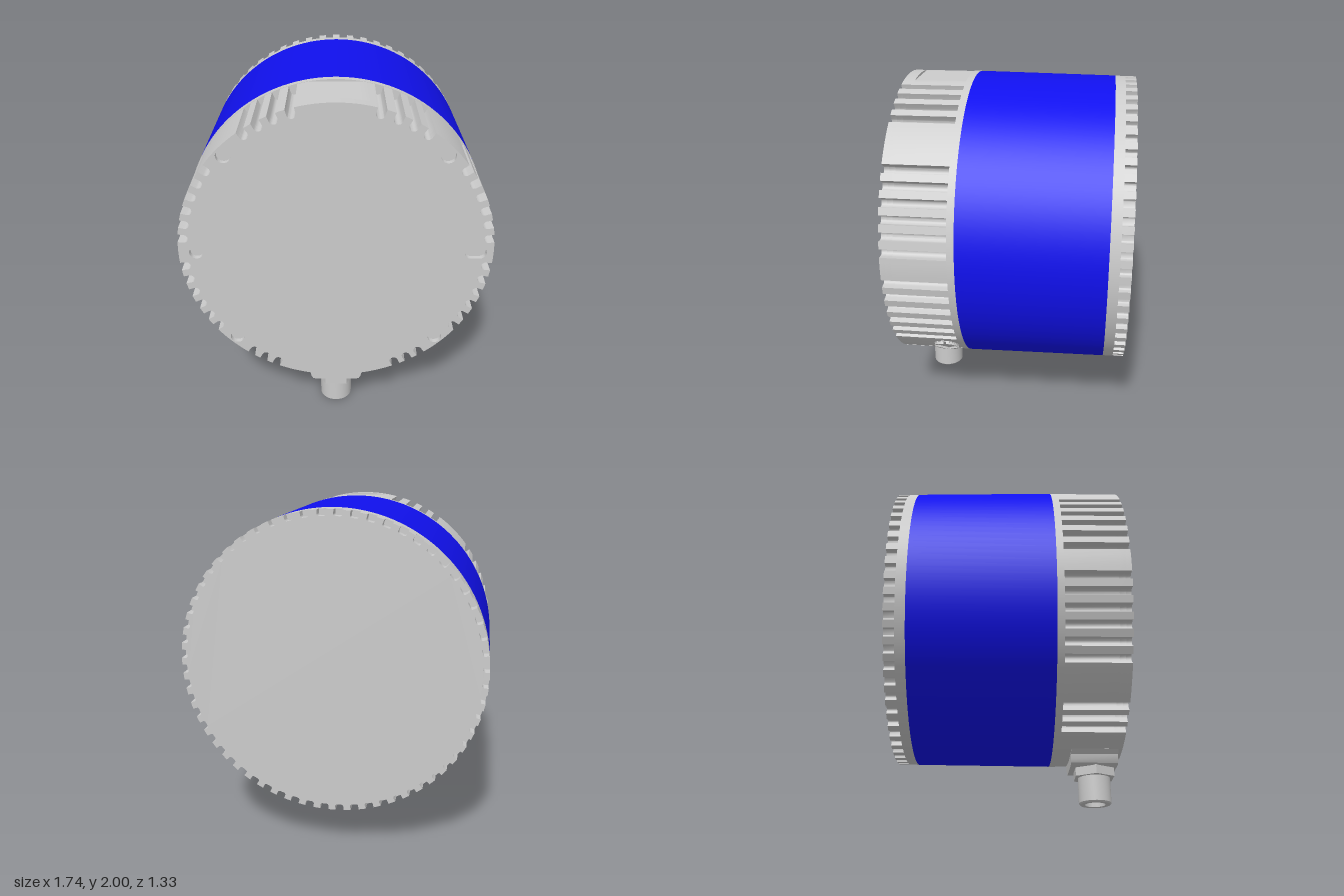
import * as THREE from 'three';
import { toCreasedNormals } from 'three/addons/utils/BufferGeometryUtils.js';

const CY = 1.13, R = 0.868, RAD = Math.PI / 180;
const grey = new THREE.MeshStandardMaterial({ color: 0xcccccc });
const blue = new THREE.MeshStandardMaterial({ color: 0x1010ee });

// Circular outline with radial U-shaped grooves; `flat` trims the top to a chord
function grooved(radius, angles, halfWidth, depth, round, flat = Infinity) {
  const pts = [];
  const add = (x, y) => pts.push(new THREE.Vector2(x, Math.min(y, flat)));
  const sorted = [...angles].sort((a, b) => a - b);
  const edge = Math.asin(halfWidth / radius) / RAD;
  sorted.forEach((deg, i) => {
    const c = Math.cos(deg * RAD), s = Math.sin(deg * RAD);
    const local = (u, v) => add(u * c - v * s, u * s + v * c);
    const rim = Math.sqrt(radius ** 2 - halfWidth ** 2);
    local(rim, -halfWidth);
    const bottom = radius - depth + round;
    const n = 5, flatHalf = halfWidth - round;
    for (let k = 0; k <= n; k++) {
      const t = k / n * Math.PI / 2;
      local(bottom - round * Math.sin(t), -flatHalf - round * Math.cos(t));
    }
    for (let k = flatHalf > 0.001 ? 0 : 1; k <= n; k++) {
      const t = k / n * Math.PI / 2;
      local(bottom - round * Math.cos(t), flatHalf + round * Math.sin(t));
    }
    local(rim, halfWidth);
    // rim arc up to the next groove
    const next = i + 1 < sorted.length ? sorted[i + 1] : sorted[0] + 360;
    const from = deg + edge, to = next - edge;
    const steps = Math.max(1, Math.round((to - from) / 2));
    for (let k = 1; k < steps; k++) {
      const a = (from + (to - from) * k / steps) * RAD;
      add(radius * Math.cos(a), radius * Math.sin(a));
    }
  });
  return new THREE.Shape(pts);
}

// Rounded slot (or round hole when length is 0)
function slotHole(x, y, r, length = 0) {
  const p = new THREE.Path();
  p.absarc(x + length / 2, y, r, -Math.PI / 2, Math.PI / 2, false);
  p.absarc(x - length / 2, y, r, Math.PI / 2, Math.PI * 1.5, false);
  return p;
}

function part(parent, name, geometry, material = grey) {
  const mesh = new THREE.Mesh(geometry, material);
  mesh.name = name;
  parent.add(mesh);
  return mesh;
}

function slab(parent, name, shape, z0, z1) {
  const g = new THREE.ExtrudeGeometry(shape, { depth: z1 - z0, bevelEnabled: false, curveSegments: 12 });
  const mesh = part(parent, name, toCreasedNormals(g, 0.5));
  mesh.position.z = z0;
  return mesh;
}

// Drum section along z, radius r0 at z0 and r1 at z1
function drum(parent, name, r0, r1, z0, z1, material) {
  const g = new THREE.CylinderGeometry(r1, r0, z1 - z0, 128);
  g.rotateX(Math.PI / 2);
  const mesh = part(parent, name, g, material);
  mesh.position.z = (z0 + z1) / 2;
  return mesh;
}

export function createModel() {
  const model = new THREE.Group();
  model.name = 'cylindricalSensor';

  const body = new THREE.Group();
  body.name = 'body';
  body.position.y = CY;
  model.add(body);

  // Window band and plain collars
  drum(body, 'windowBand', 0.86, 0.87, -0.545, 0.262, blue);
  drum(body, 'frontCollar', 0.87, 0.87, 0.262, 0.302);
  drum(body, 'rearCollar', 0.858, 0.86, -0.602, -0.545);

  // Rear rim with evenly spaced notches
  const notches = Array.from({ length: 60 }, (_, i) => i * 6 + 3);
  slab(body, 'rearRim', grooved(0.858, notches, 0.024, 0.034, 0.012), -0.665, -0.6);

  // Front housing with mirrored groups of cooling grooves
  const side = [-65.5, -60, -54.5, 56, 62, 68, 74.5];
  for (let k = 1; k <= 6; k++) side.push(6 * k, -6 * k);
  const grooves = side.flatMap(a => [(a + 360) % 360, (180 - a + 360) % 360]);
  const outline = flat => grooved(R, grooves, 0.024, 0.056, 0.024, flat);
  slab(body, 'finnedHousing', outline(0.855), 0.3, 0.602);
  slab(body, 'frontRim', outline(), 0.6, 0.636);

  // Front plate with screw holes and locating holes
  const plate = outline();
  for (const sx of [-1, 1]) for (const sy of [-1, 1]) plate.holes.push(slotHole(sx * 0.58, sy * 0.58, 0.04));
  plate.holes.push(slotHole(-0.77, 0, 0.038), slotHole(0.77, 0, 0.038, 0.044));
  slab(body, 'frontPlate', plate, 0.635, 0.665);

  // Cross-slotted plug on the lower left of the housing
  const plug = new THREE.Group();
  plug.name = 'sidePlug';
  plug.rotation.z = -135 * RAD;
  plug.position.set(0.866 * Math.SQRT1_2, -0.866 * Math.SQRT1_2, 0.38);
  body.add(plug);
  part(plug, 'plugBase', new THREE.CylinderGeometry(0.076, 0.076, 0.06, 32)).position.y = -0.026;
  for (let k = 0; k < 4; k++) {
    const s = new THREE.Shape();
    s.moveTo(0.007, 0.007);
    s.absarc(0, 0, 0.072, 0.1, Math.PI / 2 - 0.1, false);
    s.closePath();
    const g = new THREE.ExtrudeGeometry(s, { depth: 0.016, bevelEnabled: false });
    g.rotateX(-Math.PI / 2);
    part(plug, 'plugQuarter', toCreasedNormals(g, 0.5)).rotation.y = k * Math.PI / 2;
  }

  // Flared connector base under the housing
  const half = [[0.12, 0.205], [0.14, 0.212], [0.15, 0.23], [0.157, 0.258], [0.185, 0.282], [0.185, 0.34]];
  const base = [...half, ...half.map(([x, y]) => [-x, y]).reverse()];
  slab(model, 'connectorBase', new THREE.Shape(base.map(p => new THREE.Vector2(...p))), 0.37, 0.642);

  // Hex nut and hollow connector barrel
  const nut = new THREE.CylinderGeometry(0.13, 0.13, 0.052, 6);
  part(model, 'hexNut', toCreasedNormals(nut, 0.5)).position.set(0, 0.181, 0.515);
  model.children.at(-1).rotation.y = Math.PI / 6;

  const profile = [[0, 0.08], [0.06, 0.08], [0.06, 0], [0.088, 0], [0.095, 0.008], [0.095, 0.2]];
  const barrel = new THREE.LatheGeometry(profile.map(p => new THREE.Vector2(...p)), 40);
  part(model, 'connectorBarrel', toCreasedNormals(barrel, 0.5)).position.z = 0.515;

  return model;
}
